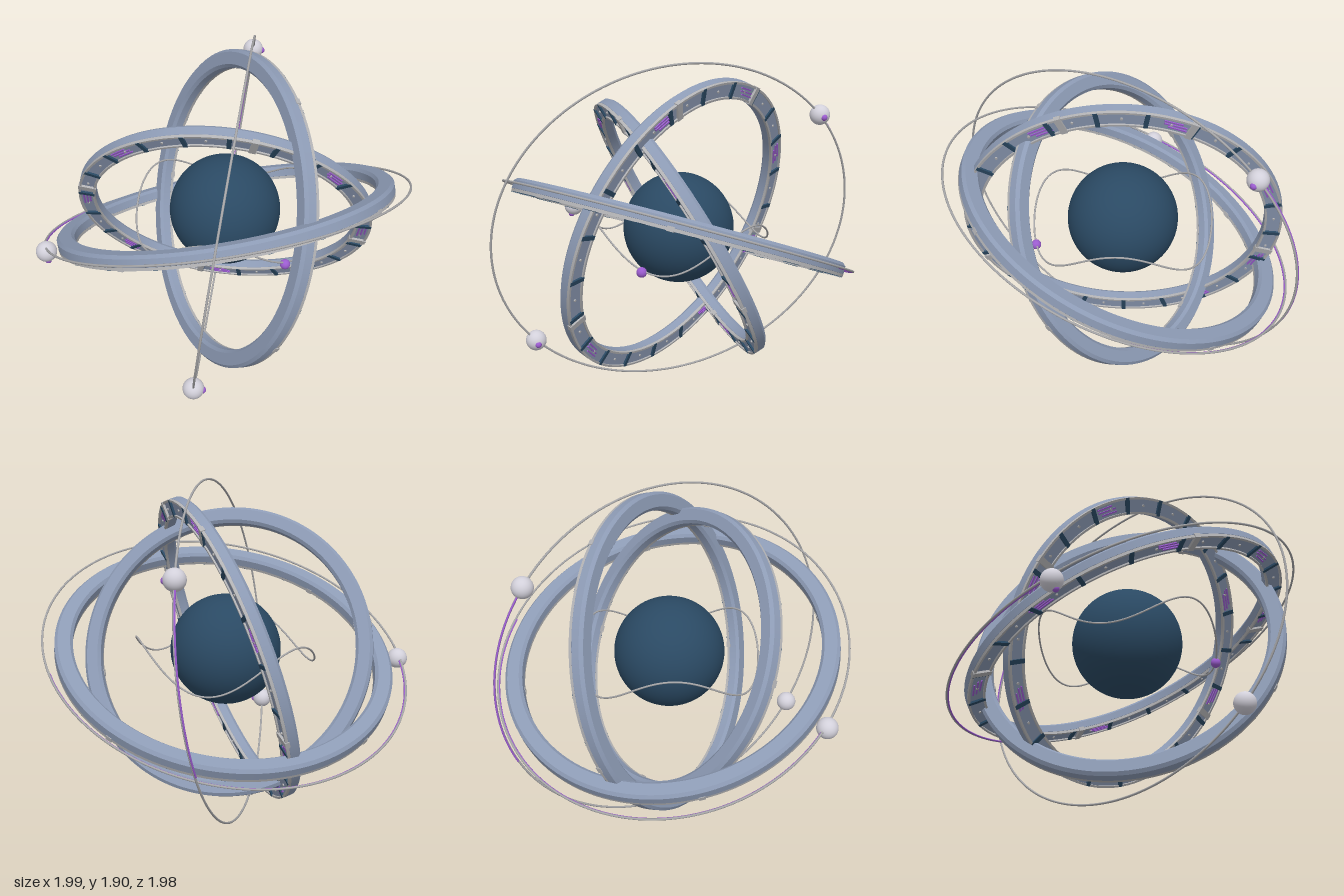
import * as THREE from 'three';
import { mergeGeometries } from 'three/addons/utils/BufferGeometryUtils.js';

const CENTRE_Y = 0.957;
const UP = new THREE.Vector3(0, 1, 0);
const V = (x, y, z) => new THREE.Vector3(x, y, z);

export function createModel() {
  const flat = (name, color) => {
    const m = new THREE.MeshStandardMaterial({ color });
    m.name = name;
    return m;
  };
  const steel = flat('blue steel', 0x8d9bb5);
  const navy = flat('navy core', 0x2a4963);
  const silver = flat('silver trim', 0xb2b2b4);
  const wireGrey = flat('wire grey', 0xa6a6a8);
  const pearl = flat('pearl', 0xd2d0da);
  const purple = flat('purple glow', 0x9b5ccf);

  const model = new THREE.Group();
  model.name = 'orrery';
  const body = new THREE.Group();
  body.name = 'body';
  body.position.y = CENTRE_Y;
  model.add(body);

  const add = (parent, name, geometry, material, position) => {
    const mesh = new THREE.Mesh(geometry, material);
    mesh.name = name;
    if (position) mesh.position.copy(position);
    parent.add(mesh);
    return mesh;
  };

  // Sharp-edged hoop: one lathe strip per side of a closed (radius, height) profile
  const hoop = (profile) => mergeGeometries(profile.map((p, i) => {
    const q = profile[(i + 1) % profile.length];
    return new THREE.LatheGeometry(
      [new THREE.Vector2(...p), new THREE.Vector2(...q)], 128);
  }));
  const rectHoop = (r0, r1, y0, y1) => hoop([[r1, y0], [r1, y1], [r0, y1], [r0, y0]]);

  // Central globe
  add(body, 'core', new THREE.SphereGeometry(0.312, 64, 48), navy);

  // Big rings, with the decorated face pointing along "facing"; detail angles in degrees
  const makeRing = (name, outer, thick, facing, phase, dashAngles, claspAngles) => {
    const ring = new THREE.Group();
    ring.name = name;
    ring.quaternion.setFromUnitVectors(UP, facing.normalize());
    body.add(ring);
    const inner = outer - thick, h = 0.034, c = 0.016;
    const mid = outer - thick / 2;
    add(ring, name + 'Band', hoop([
      [outer - c, -h], [outer, -h + c], [outer, h - 0.008], [outer - 0.008, h],
      [inner + 0.008, h], [inner, h - 0.008], [inner, -h + c], [inner + c, -h],
    ]), steel);
    // Raised rims along both edges of the decorated face
    add(ring, name + 'OuterRim', rectHoop(outer - 0.013, outer - 0.001, h - 0.01, h + 0.009), silver);
    add(ring, name + 'InnerRim', rectHoop(inner + 0.001, inner + 0.013, h - 0.01, h + 0.009), silver);

    const bars = [], clasps = [], dashes = [], studs = [];
    const place = (list, geometry, r, degrees, y) => {
      geometry.translate(r, y, 0);
      geometry.rotateY(THREE.MathUtils.degToRad(degrees));
      list.push(geometry);
    };
    const count = 21, step = 360 / count;
    for (let i = 0; i < count; i++) {
      const a = phase + i * step;
      place(bars, new THREE.BoxGeometry(thick - 0.004, 0.016, 0.024), mid, a, h + 0.003);
      place(studs, new THREE.CylinderGeometry(0.007, 0.007, 0.01, 12), mid, a + step / 2, h + 0.002);
    }
    for (const a of claspAngles) {
      place(clasps, new THREE.BoxGeometry(thick + 0.006, 0.026, 0.036), mid, a, h);
    }
    // Rows of fine dashes
    for (const a of dashAngles) {
      for (let k = -1; k <= 1; k++) {
        place(dashes, new THREE.BoxGeometry(0.008, 0.008, 0.12 - 0.02 * Math.abs(k)),
          mid + k * 0.018, a + k, h + 0.002);
      }
    }
    add(ring, name + 'Inlays', mergeGeometries(bars), navy);
    add(ring, name + 'Clasps', mergeGeometries(clasps), silver);
    add(ring, name + 'Dashes', mergeGeometries(dashes), purple);
    add(ring, name + 'Studs', mergeGeometries(studs), silver);
  };
  const quarters = (start) => [0, 90, 180, 270].map((a) => start + a);
  makeRing('levelRing', 0.957, 0.1, V(-0.18, -0.913, 0.366), 5,
    [129, 174, 219, 264, 309, 39, 84], quarters(120));
  makeRing('leftRing', 0.894, 0.1, V(0.856, -0.273, 0.438), 7,
    [182, 134, 85, 40, 6, -72], [174, 128, 47, -93]);
  makeRing('rightRing', 0.828, 0.094, V(-0.756, -0.46, 0.464), 9,
    [206, 296, 341, 71, 116, 161], quarters(197));

  // Thin elliptical orbits with their moons
  class Arc extends THREE.Curve {
    constructor(at, from, to) {
      super();
      Object.assign(this, { at, from, to });
    }
    getPoint(t, target = new THREE.Vector3()) {
      return target.copy(this.at(this.from + (this.to - this.from) * t));
    }
  }
  const wire = (name, at, from, to, radius, material, closed) =>
    add(body, name, new THREE.TubeGeometry(new Arc(at, from, to), 160, radius, 8, closed), material);

  const makeOrbit = (name, normal, along, a, b, moons, drop, trail) => {
    const n = normal.normalize();
    const u = along.addScaledVector(n, -along.dot(n)).normalize();
    const v = n.clone().cross(u);
    const ellipse = (grow, lift) => (t) => V(0, 0, 0)
      .addScaledVector(u, (a + grow) * Math.cos(t))
      .addScaledVector(v, (b + grow) * Math.sin(t))
      .addScaledVector(n, lift);
    const angleOf = (p) => Math.atan2(p.dot(v) / b, p.dot(u) / a);
    wire(name + 'Wire', ellipse(0, 0), 0, Math.PI * 2, 0.0062, wireGrey, true);
    moons.forEach((p) => {
      const centre = ellipse(0, drop)(angleOf(p));
      add(body, name + 'Moon', new THREE.SphereGeometry(0.058, 32, 24), pearl, centre);
      add(body, name + 'MoonLight', new THREE.SphereGeometry(0.019, 16, 12), purple,
        centre.clone().addScaledVector(n, 0.05));
    });
    // Glowing trail beside the wire, starting at the first moon
    const start = angleOf(moons[0]);
    wire(name + 'Trail', ellipse(trail.grow, trail.lift), start, start + trail.sweep, 0.005, purple, false);
  };
  makeOrbit('uprightOrbit', V(0.54, -0.134, 0.83), V(0.84, 0.04, -0.54), 1.066, 0.952,
    [V(0.74, 0.597, -0.38), V(-0.74, -0.597, 0.38)], 0, { grow: 0.003, lift: -0.006, sweep: -1.05 });
  makeOrbit('levelOrbit', V(-0.18, -0.913, 0.366), V(0, 0.37, 0.93), 1.06, 1.005,
    [V(-0.827, -0.09, -0.622)], 0.027, { grow: -0.006, lift: 0.004, sweep: 2.9 });

  // Wavy inner wire with a small bead
  const wave = (t) => V(0.503 * Math.sin(t), -0.108 * Math.cos(3 * t - 0.1), 0.503 * Math.cos(t));
  wire('innerWave', wave, 0, Math.PI * 2, 0.0052, wireGrey, true);
  add(body, 'innerBead', new THREE.SphereGeometry(0.028, 24, 16), purple,
    wave(-0.187).add(V(0, -0.012, 0)));

  return model;
}
